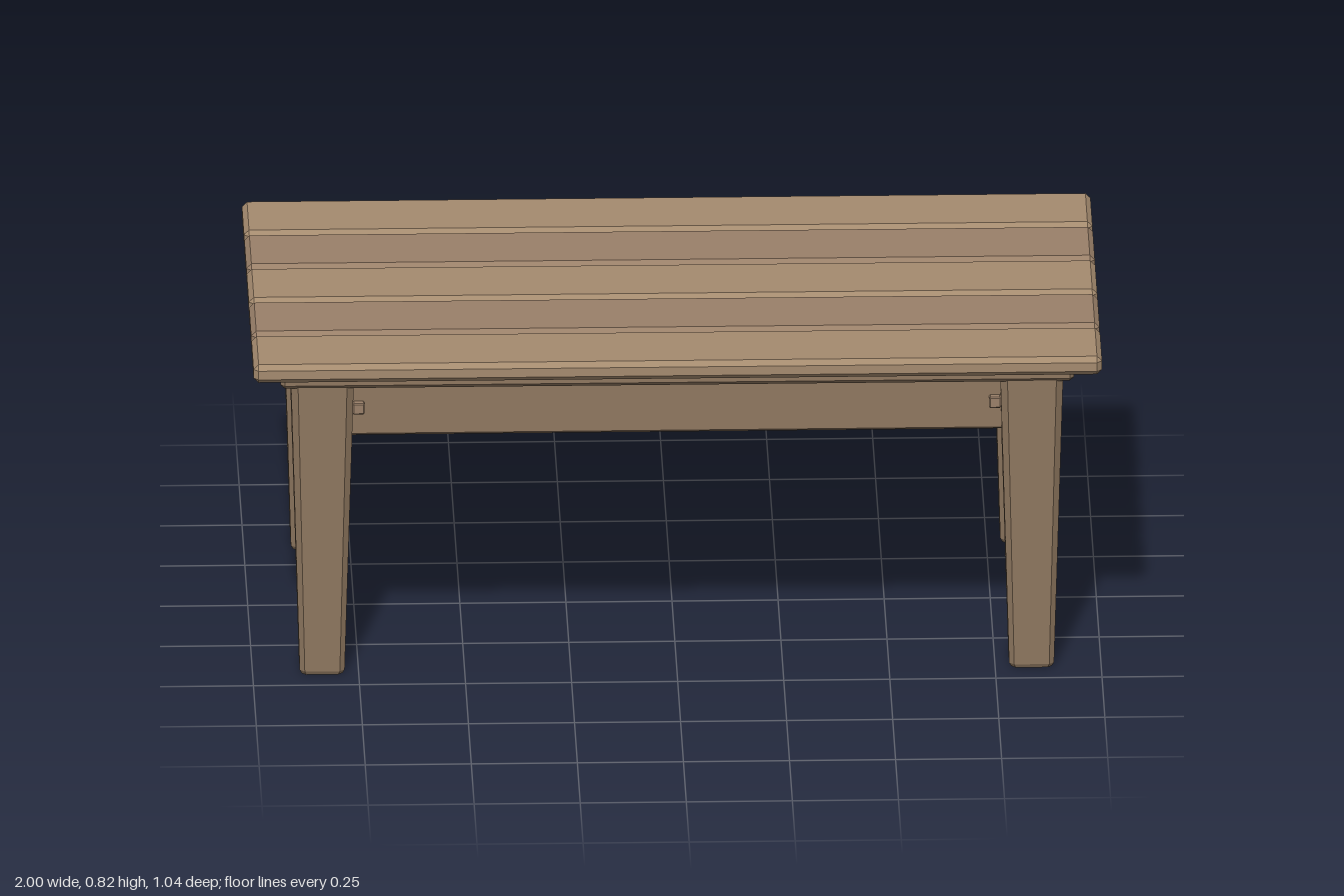
import * as THREE from 'three';
import { ConvexGeometry } from 'three/addons/geometries/ConvexGeometry.js';

const wood = (color) => new THREE.MeshStandardMaterial({ color, flatShading: true });
const lightWood = wood(0xa58b6f);
const midWood = wood(0x9a8069);
const frameWood = wood(0x8f7860);

// Box with every edge chamfered by c
function chamferBox(w, h, d, c) {
  const points = [];
  for (const sx of [-1, 1]) for (const sy of [-1, 1]) for (const sz of [-1, 1]) {
    const x = w / 2, y = h / 2, z = d / 2;
    points.push(
      new THREE.Vector3(sx * x, sy * (y - c), sz * (z - c)),
      new THREE.Vector3(sx * (x - c), sy * y, sz * (z - c)),
      new THREE.Vector3(sx * (x - c), sy * (y - c), sz * z));
  }
  return new ConvexGeometry(points);
}

// Tapered leg with chamfered corners and a slightly eased foot
function legGeometry() {
  const rings = [[0, 0.048], [0.01, 0.053], [0.745, 0.074]];
  const points = [];
  for (const [y, r] of rings) {
    const c = r * 0.22;
    for (const sx of [-1, 1]) for (const sz of [-1, 1]) {
      points.push(
        new THREE.Vector3(sx * r, y, sz * (r - c)),
        new THREE.Vector3(sx * (r - c), y, sz * r));
    }
  }
  return new ConvexGeometry(points);
}

export function createModel() {
  const table = new THREE.Group();
  table.name = 'plankTable';

  const add = (name, geometry, material, x, y, z) => {
    const mesh = new THREE.Mesh(geometry, material);
    mesh.name = name;
    mesh.position.set(x, y, z);
    table.add(mesh);
  };

  // Five top planks with narrow gaps
  const plank = chamferBox(2, 0.046, 0.2, 0.012);
  for (let i = -2; i <= 2; i++) {
    add('topPlank', plank, i % 2 ? midWood : lightWood, 0, 0.797, i * 0.2095);
  }

  // Panel under the planks, and its central stretcher
  add('underPanel', chamferBox(1.87, 0.036, 0.935, 0.01), frameWood, 0, 0.756, 0);
  add('centreBeam', chamferBox(1.62, 0.05, 0.09, 0.006), frameWood, 0, 0.715, 0);

  // Legs
  const leg = legGeometry();
  for (const sx of [-1, 1]) for (const sz of [-1, 1]) {
    add('leg', leg, frameWood, sx * 0.836, 0, sz * 0.387);
  }

  // Aprons between the legs, with square pegs at the ends of the long ones
  const longApron = chamferBox(1.6, 0.145, 0.045, 0.006);
  const endApron = chamferBox(0.045, 0.145, 0.7, 0.006);
  const peg = chamferBox(0.028, 0.028, 0.03, 0.003);
  for (const s of [-1, 1]) {
    add('longApron', longApron, frameWood, 0, 0.6705, s * 0.39);
    add('endApron', endApron, frameWood, s * 0.836, 0.6705, 0);
    for (const sx of [-1, 1]) add('peg', peg, midWood, sx * 0.75, 0.672, s * 0.415);
  }
  return table;
}
